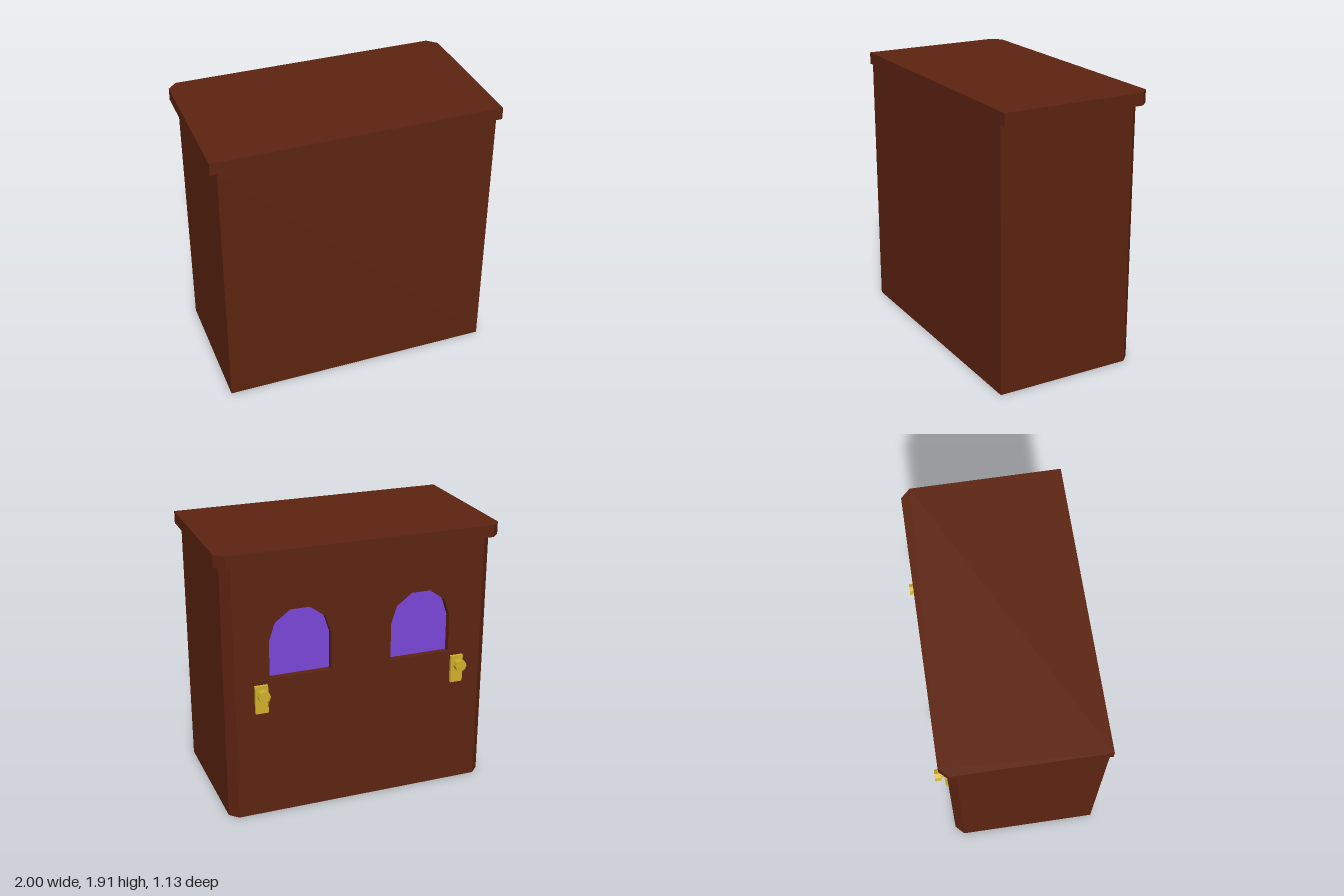
import * as THREE from 'three';

const mat = (name, color) => {
  const m = new THREE.MeshStandardMaterial({ color });
  m.name = name;
  return m;
};

export function createModel() {
  const wood = mat('dark wood', 0x5c2310);
  const brass = mat('brass', 0xcfae2a);
  const glass = mat('purple glass', 0x7a45d8);

  const model = new THREE.Group();
  model.name = 'cabinet';

  const FRONT = 0.565, BACK = -0.475, WALL = 0.05;

  const add = (parent, name, geometry, material) => {
    const mesh = new THREE.Mesh(geometry, material);
    mesh.name = name;
    parent.add(mesh);
    return mesh;
  };

  // Extrude a floor outline given as [x, z] pairs upward from y0
  const slab = (outline, y0, height) => {
    const shape = new THREE.Shape(outline.map(([x, z]) => new THREE.Vector2(x, -z)));
    return new THREE.ExtrudeGeometry(shape, { depth: height, bevelEnabled: false })
      .rotateX(-Math.PI / 2).translate(0, y0, 0);
  };

  // Window outline with a five-sided arch on top
  const archPoints = (cx) => {
    const r = 0.218, sill = 1.015, spring = 1.28;
    const pts = [new THREE.Vector2(cx - r, sill), new THREE.Vector2(cx + r, sill)];
    for (let i = 0; i <= 5; i++) {
      const a = (i / 5) * Math.PI;
      pts.push(new THREE.Vector2(cx + r * Math.cos(a), spring + r * Math.sin(a)));
    }
    return pts;
  };

  // Body with chamfered rear corners and a shallow recess for the rear panel
  add(model, 'body', slab([
    [-0.955, FRONT], [0.955, FRONT], [0.955, -0.415], [0.895, BACK],
    [0.895, BACK + WALL], [-0.895, BACK + WALL], [-0.895, BACK], [-0.955, -0.415],
  ], 0, 1.83), wood);

  // Overhanging top
  add(model, 'top', slab([
    [-1, FRONT], [1, FRONT], [1, -0.457], [0.937, -0.522], [-0.937, -0.522], [-1, -0.457],
  ], 1.83, 0.085), wood);

  // Rear panel with two arched openings
  const panel = new THREE.Shape([
    new THREE.Vector2(-0.895, 0), new THREE.Vector2(0.895, 0),
    new THREE.Vector2(0.895, 1.83), new THREE.Vector2(-0.895, 1.83),
  ]);
  for (const s of [-1, 1]) panel.holes.push(new THREE.Path(archPoints(s * 0.434)));
  add(model, 'rearPanel', new THREE.ExtrudeGeometry(panel, { depth: WALL, bevelEnabled: false })
    .translate(0, 0, BACK), wood);

  for (const s of [-1, 1]) {
    // Window pane at the bottom of the opening
    const pane = new THREE.ExtrudeGeometry(new THREE.Shape(archPoints(s * 0.434)),
      { depth: 0.005, bevelEnabled: false });
    add(model, 'windowPane', pane.translate(0, 0, BACK + WALL - 0.005), glass);

    // Door handle: plate, stem and knob
    const handle = new THREE.Group();
    handle.name = 'doorHandle';
    handle.position.set(s * 0.716, 0, BACK);
    add(handle, 'plate', new THREE.BoxGeometry(0.09, 0.2, 0.022), brass).position.set(0, 0.88, -0.011);
    const round = (name, r, z0, z1) => {
      const g = new THREE.CylinderGeometry(r, r, z1 - z0, 8).toNonIndexed().rotateX(Math.PI / 2);
      g.computeVertexNormals();
      add(handle, name, g, brass).position.set(0, 0.927, -(z0 + z1) / 2);
    };
    round('stem', 0.021, 0.02, 0.05);
    round('knob', 0.042, 0.047, 0.09);
    model.add(handle);
  }

  return model;
}
